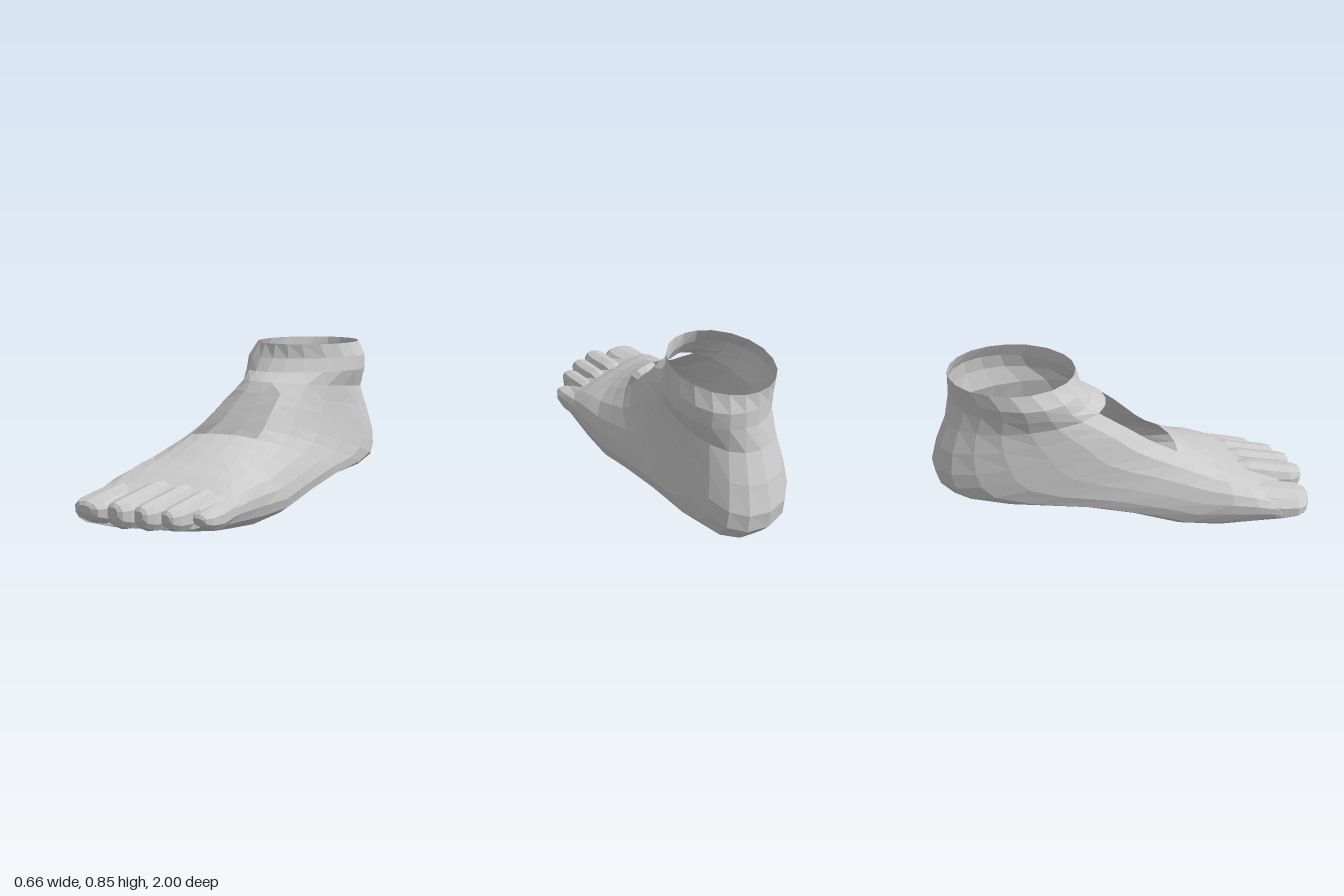
import * as THREE from 'three';

const skin = new THREE.MeshStandardMaterial({ color: 0xcccccc, flatShading: true, side: THREE.DoubleSide });

// Faceted skin over closed rings that advance towards +z.
// skip(i, j, half) leaves out the inner (0) or outer (1) triangle of a quad.
function loft(name, rings, skip = () => false) {
  const n = rings[0].length, pos = [];
  const tri = (...pts) => pts.forEach(p => pos.push(p.x, p.y, p.z));
  for (let i = 0; i < rings.length - 1; i++) {
    for (let j = 0; j < n; j++) {
      const k = (j + 1) % n;
      const a = rings[i][j], b = rings[i][k], c = rings[i + 1][j], d = rings[i + 1][k];
      if (!skip(i, j, 0)) tri(a, c, d);
      if (!skip(i, j, 1)) tri(a, d, b);
    }
  }
  // front end cap
  const last = rings[rings.length - 1];
  const mid = last.reduce((s, p) => s.add(p), new THREE.Vector3()).divideScalar(n);
  last.forEach((p, j) => tri(p, mid, last[(j + 1) % n]));
  const geo = new THREE.BufferGeometry();
  geo.setAttribute('position', new THREE.Float32BufferAttribute(pos, 3));
  geo.computeVertexNormals();
  const mesh = new THREE.Mesh(geo, skin);
  mesh.name = name;
  return mesh;
}

// Half cross-sections: u runs from the instep edge to the heel/sole edge, w is the relative half width.
const SECTIONS = [
  { // ankle
    u: [0, 0.02, 0.08, 0.2, 0.36, 0.52, 0.68, 0.82, 0.92, 0.98, 1],
    w: [0, 0.28, 0.54, 0.8, 0.96, 1, 0.93, 0.77, 0.54, 0.28, 0],
  },
  { // heel
    u: [0, 0.015, 0.06, 0.16, 0.32, 0.5, 0.68, 0.82, 0.92, 0.98, 1],
    w: [0, 0.28, 0.54, 0.78, 0.93, 0.99, 1, 0.91, 0.72, 0.42, 0],
  },
  { // arch
    u: [0, 0.02, 0.08, 0.21, 0.38, 0.57, 0.74, 0.87, 0.945, 0.985, 1],
    w: [0, 0.27, 0.5, 0.76, 0.9, 0.97, 1, 0.96, 0.8, 0.45, 0],
  },
  { // ball
    u: [0, 0.02, 0.06, 0.14, 0.28, 0.45, 0.62, 0.8, 0.94, 1, 1],
    w: [0, 0.28, 0.54, 0.77, 0.93, 1, 1, 0.94, 0.8, 0.45, 0],
  },
];

// Stations fan from the level ankle rim to the upright toe line:
// [front z, front y, back z, back y, width -x, width +x, section (0-3), skew of z by x]
const STATIONS = [
  [-0.21, 0.855, -0.86, 0.84, 0.25, 0.24, 0, -0.1],
  [-0.19, 0.78, -0.865, 0.76, 0.273, 0.262, 0, -0.3],
  [-0.14, 0.71, -0.87, 0.68, 0.258, 0.269, 0, -0.3],
  [-0.06, 0.668, -0.9, 0.56, 0.235, 0.242, 0.3, -0.12],
  [0.0, 0.625, -0.96, 0.42, 0.242, 0.248, 0.7, -0.1],
  [0.06, 0.583, -1.0, 0.28, 0.252, 0.259, 1, -0.12],
  [0.11, 0.55, -0.99, 0.19, 0.261, 0.268, 1.1, -0.16],
  [0.16, 0.515, -0.93, 0.125, 0.27, 0.277, 1.2, -0.22],
  [0.21, 0.48, -0.72, 0.1, 0.278, 0.288, 1.5, -0.33],
  [0.27, 0.438, -0.35, 0.11, 0.29, 0.304, 2, -0.45],
  [0.34, 0.4, -0.05, 0.07, 0.307, 0.317, 2.1, -0.45],
  [0.41, 0.365, 0.2, 0.01, 0.322, 0.325, 2.4, -0.42],
  [0.48, 0.33, 0.43, 0.005, 0.333, 0.33, 3, -0.4],
  [0.57, 0.295, 0.62, 0.03, 0.332, 0.328, 3, -0.43],
  [0.66, 0.25, 0.74, 0.05, 0.325, 0.325, 3, -0.45],
  [0.75, 0.22, 0.81, 0.068, 0.315, 0.31, 3, -0.47],
  [0.81, 0.2, 0.86, 0.088, 0.295, 0.295, 3, -0.48],
];

function footRing([tz, ty, bz, by, wl, wr, sec, skew]) {
  const s0 = SECTIONS[Math.floor(sec)], s1 = SECTIONS[Math.ceil(sec)], f = sec % 1;
  // the instep ridge leans to -x, so that flank is fuller near the top
  const lean = 1 + 0.3 * Math.min(sec, 1);
  return Array.from({ length: 20 }, (_, j) => {
    const i = j <= 10 ? j : 20 - j;
    const u = THREE.MathUtils.lerp(s0.u[i], s1.u[i], f) ** (j <= 10 ? 1 : lean);
    const w = THREE.MathUtils.lerp(s0.w[i], s1.w[i], f);
    const x = j <= 10 ? w * wr : -w * wl;
    return new THREE.Vector3(x, ty + (by - ty) * u, tz + (bz - tz) * u + skew * x);
  });
}

// Toe outline: [distance along, relative width, top y, bottom y]
const TOE = [
  [0, 0.8, 0.24, 0.12],
  [0.4, 0.92, 0.255, 0.09],
  [0.68, 1, 0.235, 0.075],
  [0.88, 0.95, 0.222, 0.092],
  [0.97, 0.7, 0.212, 0.115],
  [1, 0.4, 0.195, 0.15],
];

function toe(name, x, halfWidth, root, tip, lift) {
  const rings = TOE.map(([t, w, top, bottom]) => {
    const cy = (top + lift + bottom) / 2, h = (top + lift - bottom) / 2;
    return Array.from({ length: 10 }, (_, j) => {
      const a = (j / 10) * Math.PI * 2, s = Math.sin(a), c = Math.cos(a);
      const box = v => Math.sign(v) * Math.abs(v) ** 0.8;
      return new THREE.Vector3(x + box(s) * halfWidth * w, cy + box(c) * h, root + (tip - root) * t);
    });
  });
  return loft(name, rings);
}

export function createModel() {
  const foot = new THREE.Group();
  foot.name = 'foot';

  // hollow foot, open at the ankle, with a window in the instep whose upper +x corner is cut
  const inWindow = (i, j, half) => i >= 3 && i < 9
    && (j === 0 || j >= 18 || (j === 1 && (i > 3 || half === 0)));
  foot.add(loft('footShell', STATIONS.map(footRing), inWindow));

  // toes, from the big one on -x to the little one on +x
  const toes = [
    ['bigToe', -0.213, 0.115, 0.55, 1.0, -0.005],
    ['secondToe', -0.033, 0.073, 0.52, 0.99, 0.015],
    ['middleToe', 0.082, 0.062, 0.48, 0.94, 0.005],
    ['fourthToe', 0.181, 0.056, 0.43, 0.87, -0.012],
    ['littleToe', 0.27, 0.06, 0.36, 0.75, -0.04],
  ];
  toes.forEach(t => foot.add(toe(...t)));
  return foot;
}
